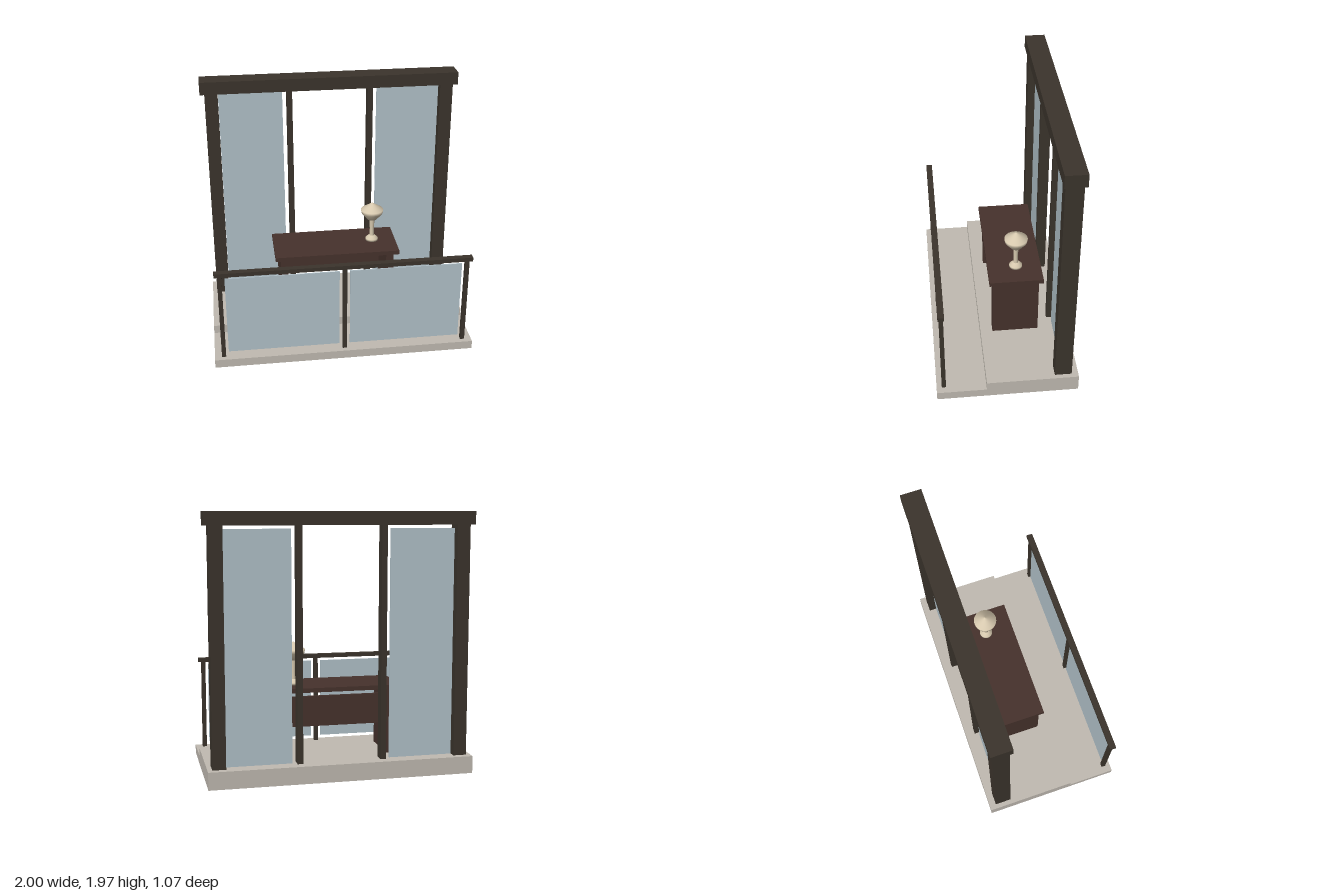
import * as THREE from 'three';

const mat = (name, color) => {
  const m = new THREE.MeshStandardMaterial({ color });
  m.name = name;
  return m;
};

export function createModel() {
  const model = new THREE.Group();
  model.name = 'balconyWithDesk';

  const stone = mat('paleStone', 0xc0bab1);
  const timber = mat('darkTimber', 0x3b342c);
  const glass = mat('blueGlass', 0xb1c1c9);
  const walnut = mat('walnut', 0x46322c);
  const cream = mat('creamLamp', 0xd6c8ae);

  const group = (name) => {
    const g = new THREE.Group();
    g.name = name;
    model.add(g);
    return g;
  };

  // Box given by its extents on each axis
  const box = (parent, name, material, [x0, x1], [y0, y1], [z0, z1]) => {
    const mesh = new THREE.Mesh(new THREE.BoxGeometry(x1 - x0, y1 - y0, z1 - z0), material);
    mesh.position.set((x0 + x1) / 2, (y0 + y1) / 2, (z0 + z1) / 2);
    mesh.name = name;
    parent.add(mesh);
  };
  // The same box on both sides of x = 0
  const pair = (parent, name, material, [x0, x1], y, z) => {
    box(parent, name + 'Left', material, [x0, x1], y, z);
    box(parent, name + 'Right', material, [-x1, -x0], y, z);
  };

  // Stepped floor
  const floor = group('floor');
  box(floor, 'lowerSlab', stone, [-1, 1], [0, 0.066], [-0.535, 0.535]);
  box(floor, 'upperSlab', stone, [-1, 1], [0.066, 0.132], [-0.535, 0.16]);

  // Rear frame with fixed glass on both sides of the opening
  const frame = group('rearFrame');
  box(frame, 'topBeam', timber, [-1, 1], [1.875, 1.973], [-0.5, -0.342]);
  pair(frame, 'outerPost', timber, [0.865, 0.965], [0.132, 1.875], [-0.485, -0.357]);
  pair(frame, 'innerPost', timber, [0.295, 0.337], [0.132, 1.875], [-0.461, -0.381]);
  pair(frame, 'glassPane', glass, [0.37, 0.863], [0.132, 1.85], [-0.427, -0.415]);

  // Front balustrade
  const rail = group('balustrade');
  box(rail, 'handrail', timber, [-0.97, 0.97], [0.766, 0.797], [0.456, 0.504]);
  box(rail, 'middlePost', timber, [-0.016, 0.016], [0.066, 0.766], [0.464, 0.496]);
  pair(rail, 'endPost', timber, [0.914, 0.946], [0.066, 0.766], [0.464, 0.496]);
  pair(rail, 'railGlass', glass, [0.04, 0.892], [0.105, 0.742], [0.475, 0.485]);

  // Desk
  const desk = group('desk');
  box(desk, 'deskTop', walnut, [-0.49, 0.49], [0.635, 0.668], [-0.325, 0.09]);
  pair(desk, 'deskSide', walnut, [0.39, 0.45], [0.132, 0.635], [-0.295, 0.065]);
  box(desk, 'backPanel', walnut, [-0.39, 0.39], [0.37, 0.6], [-0.285, -0.262]);

  // Table lamp: turned foot, stem and shade
  const lamp = group('lamp');
  lamp.position.set(0.303, 0.668, -0.13);
  const turned = (name, points) => {
    const profile = points.map(([r, y]) => new THREE.Vector2(r, y));
    const mesh = new THREE.Mesh(new THREE.LatheGeometry(profile, 32), cream);
    mesh.name = name;
    lamp.add(mesh);
  };
  turned('lampFoot', [[0, 0], [0.05, 0], [0.05, 0.016], [0.024, 0.04], [0, 0.044]]);
  turned('lampStem', [[0.019, 0.03], [0.016, 0.1], [0.022, 0.192]]);
  turned('lampShade', [[0, 0.185], [0.04, 0.187], [0.085, 0.243], [0.089, 0.27], [0, 0.329]]);

  return model;
}
